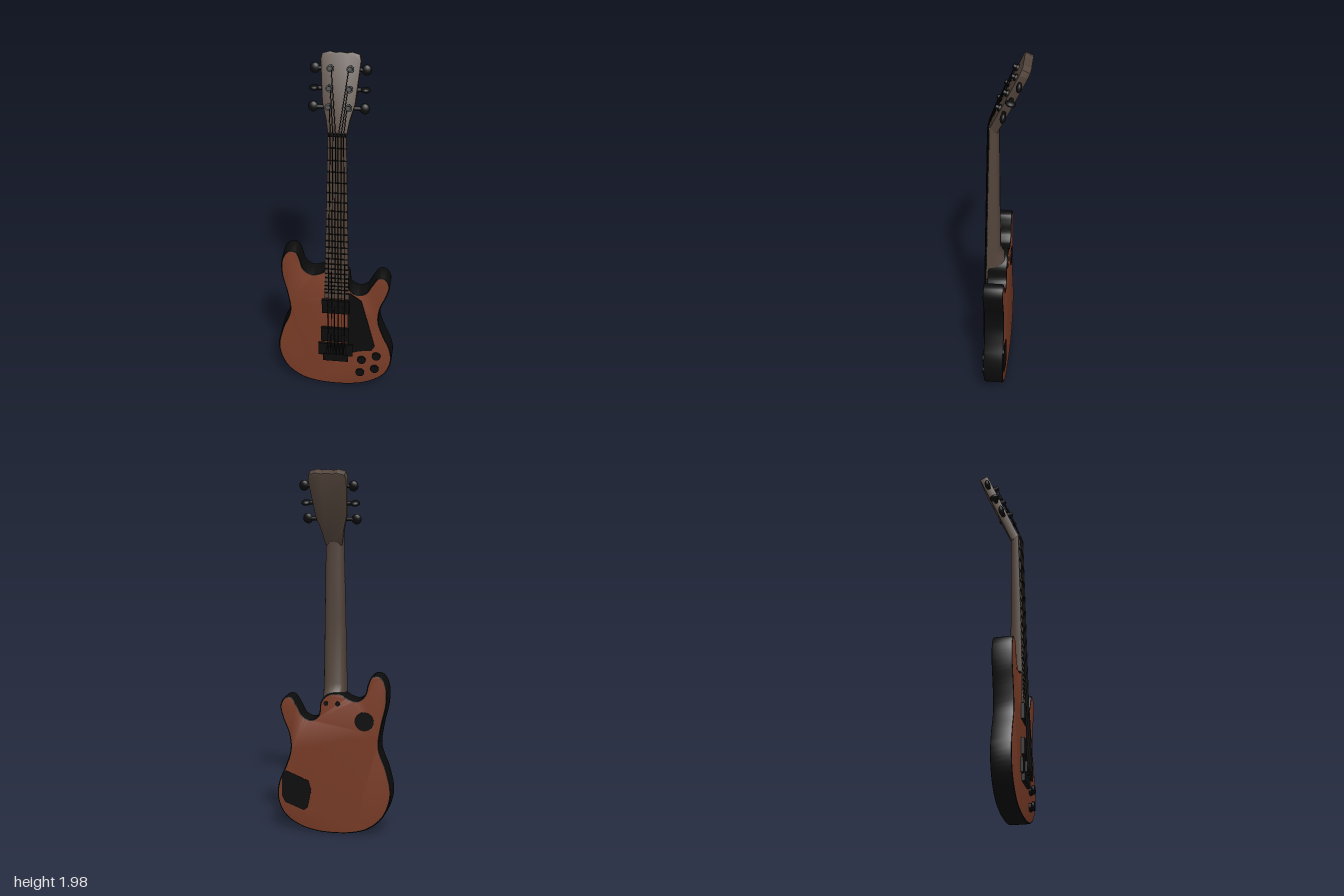
import * as THREE from 'three';
import { toCreasedNormals } from 'three/addons/utils/BufferGeometryUtils.js';

const CX = 0.01; // centre line of neck and strings
const NUT = 1.61, BRIDGE = 0.27;

export function createModel() {
  const mat = (name, color) => {
    const m = new THREE.MeshStandardMaterial({ color });
    m.name = name;
    return m;
  };
  const brown = mat('reddish brown body', 0x7a3c27);
  const wood = mat('dark neck wood', 0x52443b);
  const black = mat('black', 0x0c0c0c);

  const model = new THREE.Group();
  model.name = 'guitar';
  const add = (name, geo, material, x = 0, y = 0, z = 0, parent = model) => {
    const m = new THREE.Mesh(geo, material);
    m.name = name;
    m.position.set(x, y, z);
    parent.add(m);
    return m;
  };
  const box = (name, x0, x1, y0, y1, z0, z1, material = black) =>
    add(name, new THREE.BoxGeometry(x1 - x0, y1 - y0, z1 - z0), material, (x0 + x1) / 2, (y0 + y1) / 2, (z0 + z1) / 2);
  const disc = (name, x, y, z, r, h, parent = model) => {
    const m = add(name, new THREE.CylinderGeometry(r, r, h, 20), black, x, y, z, parent);
    m.rotation.x = Math.PI / 2;
    return m;
  };
  const polygon = (pts) => new THREE.Shape(pts.map(([x, y]) => new THREE.Vector2(x, y)));
  const extrude = (pts, depth, bevel = 0) => toCreasedNormals(new THREE.ExtrudeGeometry(polygon(pts), {
    depth: depth - 2 * bevel, bevelEnabled: bevel > 0, bevelSize: bevel, bevelThickness: bevel,
    bevelOffset: -bevel, bevelSegments: 2,
  }).translate(0, 0, bevel), 0.5);
  const rod = (name, a, b, r) => {
    const d = b.clone().sub(a);
    const m = add(name, new THREE.CylinderGeometry(r, r, d.length(), 6), black);
    m.position.copy(a).addScaledVector(d, 0.5);
    m.quaternion.setFromUnitVectors(new THREE.Vector3(0, 1, 0), d.normalize());
  };

  // Body: smooth closed outline, brown faces and black rim
  const outline = [
    [0, 0.004], [-0.1, 0.012], [-0.19, 0.04], [-0.275, 0.115], [-0.317, 0.24], [-0.295, 0.37], [-0.25, 0.5],
    [-0.263, 0.62], [-0.29, 0.745], [-0.286, 0.845], [-0.255, 0.895], [-0.21, 0.895], [-0.187, 0.85],
    [-0.17, 0.79], [-0.13, 0.757], [-0.085, 0.765], [-0.04, 0.79], [0.03, 0.785], [0.07, 0.745], [0.085, 0.665],
    [0.125, 0.64], [0.167, 0.655], [0.2, 0.71], [0.235, 0.76], [0.272, 0.757], [0.297, 0.71], [0.283, 0.64],
    [0.25, 0.555], [0.242, 0.465], [0.27, 0.37], [0.307, 0.28], [0.316, 0.19], [0.277, 0.095], [0.19, 0.035], [0.1, 0.01],
  ];
  const curve = new THREE.CatmullRomCurve3(outline.map(([x, y]) => new THREE.Vector3(x, y, 0)), true);
  const smooth = curve.getPoints(180).slice(0, -1).map((p) => [p.x, p.y]);
  add('body', extrude(smooth, 0.108, 0.008), [brown, black], 0, 0, -0.008);

  // Neck: D-shaped cross-sections [y, half width, front z, back z]
  const sections = [
    [0.61, 0.066, 0.108, 0.0], [0.775, 0.063, 0.104, 0.0], [0.8, 0.0625, 0.103, 0.018],
    [0.84, 0.062, 0.102, 0.032], [1.2, 0.055, 0.094, 0.034], [1.62, 0.047, 0.083, 0.036],
  ];
  const N = 14, pos = [], idx = [];
  sections.forEach(([y, w, front, back]) => {
    const edge = front - 0.012;
    pos.push(CX + w, y, front, CX - w, y, front);
    for (let i = 0; i < N - 2; i++) {
      const a = Math.PI * i / (N - 3);
      const c = Math.cos(a);
      pos.push(CX - w * Math.sign(c) * Math.pow(Math.abs(c), 0.75), y, edge - (edge - back) * Math.pow(Math.sin(a), 0.75));
    }
  });
  for (let s = 0; s < sections.length - 1; s++) {
    for (let i = 0; i < N; i++) {
      const a = s * N + i, b = s * N + (i + 1) % N;
      idx.push(a, a + N, b, b, a + N, b + N);
    }
  }
  const last = (sections.length - 1) * N;
  for (let i = 1; i < N - 1; i++) idx.push(0, i, i + 1, last, last + i + 1, last + i);
  const neckGeo = new THREE.BufferGeometry();
  neckGeo.setAttribute('position', new THREE.Float32BufferAttribute(pos, 3));
  neckGeo.setIndex(idx);
  add('neck', toCreasedNormals(neckGeo, 0.6), wood);

  // Frets and nut
  const boardZ = (y) => 0.108 - 0.025 * (y - 0.61) / 1.01;
  const boardW = (y) => 0.066 - 0.019 * (y - 0.61) / 1.01;
  for (let n = 1; n <= 22; n++) {
    const y = NUT - (NUT - BRIDGE) * (1 - Math.pow(2, -n / 12));
    const w = boardW(y), z = boardZ(y);
    box('fret', CX - w, CX + w, y - 0.003, y + 0.003, z - 0.004, z + 0.003);
  }
  box('nut', CX - 0.044, CX + 0.044, NUT - 0.008, NUT + 0.008, 0.07, 0.091);

  // Headstock, tilted backwards
  const head = new THREE.Group();
  head.name = 'headstock';
  head.position.set(CX, NUT, 0.083);
  head.rotation.x = -0.42;
  model.add(head);
  const half = [[0.046, -0.01], [0.06, 0.075], [0.083, 0.16], [0.102, 0.375], [0.094, 0.405], [0.055, 0.416], [0.03, 0.41]];
  const headPts = [...half, [0, 0.414], ...half.map(([x, y]) => [-x, y]).reverse()];
  add('headstockPlate', extrude(headPts, 0.047, 0.004), wood, 0, 0, -0.047, head);

  // Tuners: post, shaft and oval button on each side
  const tunerY = [0.137, 0.23, 0.33];
  for (const side of [-1, 1]) {
    tunerY.forEach((y, i) => {
      disc('tuningPost', side * 0.05, y, 0.01, 0.012, 0.032, head);
      disc('tuningPostCollar', side * 0.05, y, 0.004, 0.019, 0.012, head);
      const shaft = add('tuningShaft', new THREE.CylinderGeometry(0.011, 0.011, 0.05, 12), black, side * 0.1, y, -0.023, head);
      shaft.rotation.z = Math.PI / 2;
      const button = add('tuningButton', new THREE.SphereGeometry(1, 18, 12), black, side * 0.13, y, -0.023, head);
      button.scale.set(0.026, 0.028, 0.015);
      button.rotation.x = i === 1 ? 1.75 : 0.25;
    });
  }

  // Strings: bridge to nut, then nut to post
  head.updateMatrixWorld(true);
  for (let i = 0; i < 6; i++) {
    const t = (i - 2.5) / 2.5, side = Math.sign(t);
    const nut = new THREE.Vector3(CX + t * 0.034, NUT, 0.093);
    rod('string', new THREE.Vector3(CX + t * 0.048, BRIDGE, 0.125), nut, 0.0026);
    const order = i < 3 ? i : 5 - i; // outer strings take the nearest posts
    const post = head.localToWorld(new THREE.Vector3(side * 0.044, tunerY[order], 0.018));
    rod('stringEnd', nut, post, 0.0026);
  }

  // Pickups and bridge
  box('neckPickup', -0.07, 0.08, 0.515, 0.6, 0.095, 0.118);
  box('bridgePickup', -0.075, 0.08, 0.32, 0.41, 0.095, 0.118);
  box('bridge', -0.092, 0.1, 0.22, 0.3, 0.095, 0.114);
  box('bridgeTail', -0.065, 0.075, 0.183, 0.23, 0.095, 0.118);
  for (let i = 0; i < 6; i++) {
    const x = CX + (i - 2.5) * 0.0192;
    box('saddle', x - 0.007, x + 0.007, 0.235, 0.29, 0.11, 0.126);
    disc('pickupPole', x, 0.555, 0.118, 0.005, 0.006);
    disc('pickupPole', x, 0.365, 0.118, 0.005, 0.006);
  }

  // Pickguard and control knobs
  add('pickguard', extrude([[0.07, 0.24], [0.105, 0.243], [0.135, 0.255], [0.205, 0.266], [0.222, 0.295],
    [0.146, 0.6], [0.085, 0.645], [0.07, 0.645]], 0.008), black, 0, 0, 0.098);
  for (const [x, y] of [[0.15, 0.195], [0.232, 0.228], [0.142, 0.105], [0.224, 0.137]]) {
    disc('controlKnob', x, y, 0.104, 0.024, 0.016);
  }

  // Back covers and neck screws
  add('controlCover', extrude([[0.268, 0.345], [0.29, 0.32], [0.29, 0.2], [0.272, 0.165], [0.165, 0.125],
    [0.145, 0.145], [0.125, 0.24], [0.14, 0.295]].reverse(), 0.006), black, 0, 0, -0.011);
  disc('roundCover', -0.168, 0.645, -0.008, 0.052, 0.006);
  for (const x of [-0.022, 0.042]) disc('neckScrew', x, 0.735, -0.008, 0.013, 0.006);

  return model;
}
